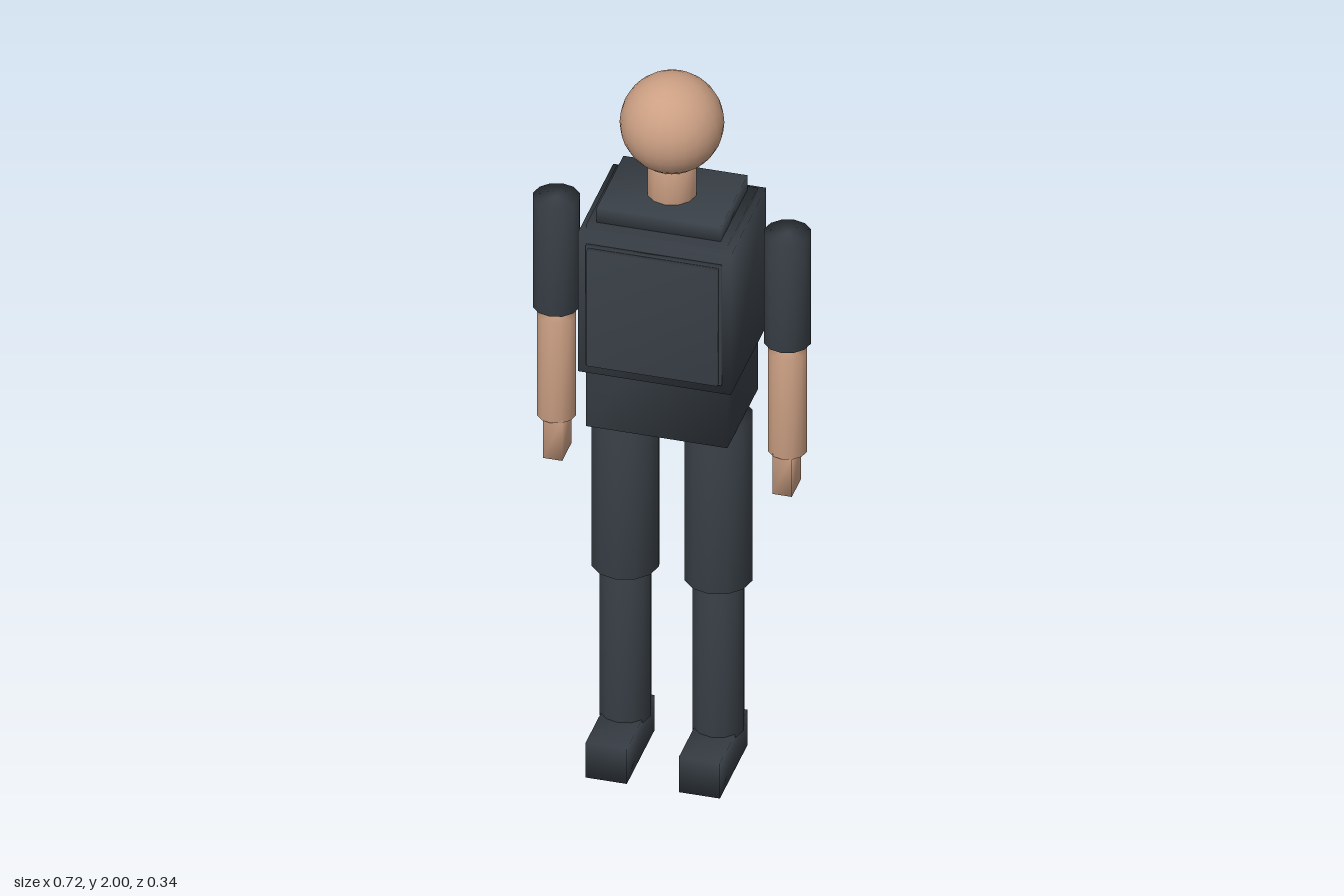
import * as THREE from 'three';
import { mergeVertices } from 'three/addons/utils/BufferGeometryUtils.js';

const cloth = new THREE.MeshStandardMaterial({ name: 'dark cloth', color: 0x383f46 });
const skin = new THREE.MeshStandardMaterial({ name: 'skin', color: 0xcb9f83 });
const MID_Z = -0.012; // body axis sits slightly behind centre

// Weld corners so shading flows softly around every edge
function soften(geometry) {
  geometry.deleteAttribute('normal');
  geometry.deleteAttribute('uv');
  const welded = mergeVertices(geometry, 1e-4);
  welded.computeVertexNormals();
  return welded;
}

function addMesh(parent, name, geometry, material, x, y, z) {
  const mesh = new THREE.Mesh(geometry, material);
  mesh.name = name;
  mesh.position.set(x, y, z);
  parent.add(mesh);
}

// Box centred on x and z, spanning y0 to y1
function addBox(parent, name, material, x, z, width, depth, y0, y1) {
  const geometry = soften(new THREE.BoxGeometry(width, y1 - y0, depth));
  addMesh(parent, name, geometry, material, x, (y0 + y1) / 2, z);
}

// Upright twelve-sided limb segment spanning y0 to y1
function addLimb(parent, name, material, x, radius, y0, y1) {
  const geometry = soften(new THREE.CylinderGeometry(radius, radius, y1 - y0, 12));
  addMesh(parent, name, geometry, material, x, (y0 + y1) / 2, MID_Z);
}

export function createModel() {
  const model = new THREE.Group();
  model.name = 'figure';

  // Head and neck
  addMesh(model, 'head', new THREE.SphereGeometry(0.13, 24, 16), skin, 0, 1.87, MID_Z);
  addLimb(model, 'neck', skin, 0, 0.063, 1.62, 1.78);

  // Torso: inner core, chest shell, collar and layered front panel
  addBox(model, 'torsoCore', cloth, 0, MID_Z, 0.364, 0.275, 1.02, 1.62);
  addBox(model, 'chest', cloth, 0, MID_Z, 0.394, 0.32, 1.195, 1.608);
  addBox(model, 'collar', cloth, 0, MID_Z, 0.32, 0.243, 1.6, 1.663);
  addBox(model, 'chestPanelBase', cloth, 0, 0.15, 0.35, 0.017, 1.225, 1.578);
  addBox(model, 'chestPanel', cloth, 0, 0.158, 0.336, 0.026, 1.23, 1.573);

  // Arms and legs, mirrored
  for (const [side, s] of [['left', 1], ['right', -1]]) {
    const arm = new THREE.Group();
    arm.name = side + 'Arm';
    addLimb(arm, 'upperArm', cloth, s * 0.298, 0.06, 1.275, 1.595);
    addLimb(arm, 'forearm', skin, s * 0.298, 0.05, 0.952, 1.248);
    addBox(arm, 'hand', skin, s * 0.296, MID_Z, 0.05, 0.085, 0.84, 0.96);

    const leg = new THREE.Group();
    leg.name = side + 'Leg';
    addLimb(leg, 'thigh', cloth, s * 0.12, 0.087, 0.543, 1.022);
    addLimb(leg, 'shin', cloth, s * 0.12, 0.066, 0.095, 0.55);
    addBox(leg, 'shoe', cloth, s * 0.12, 0.036, 0.106, 0.252, 0, 0.104);
    model.add(arm, leg);
  }
  return model;
}
